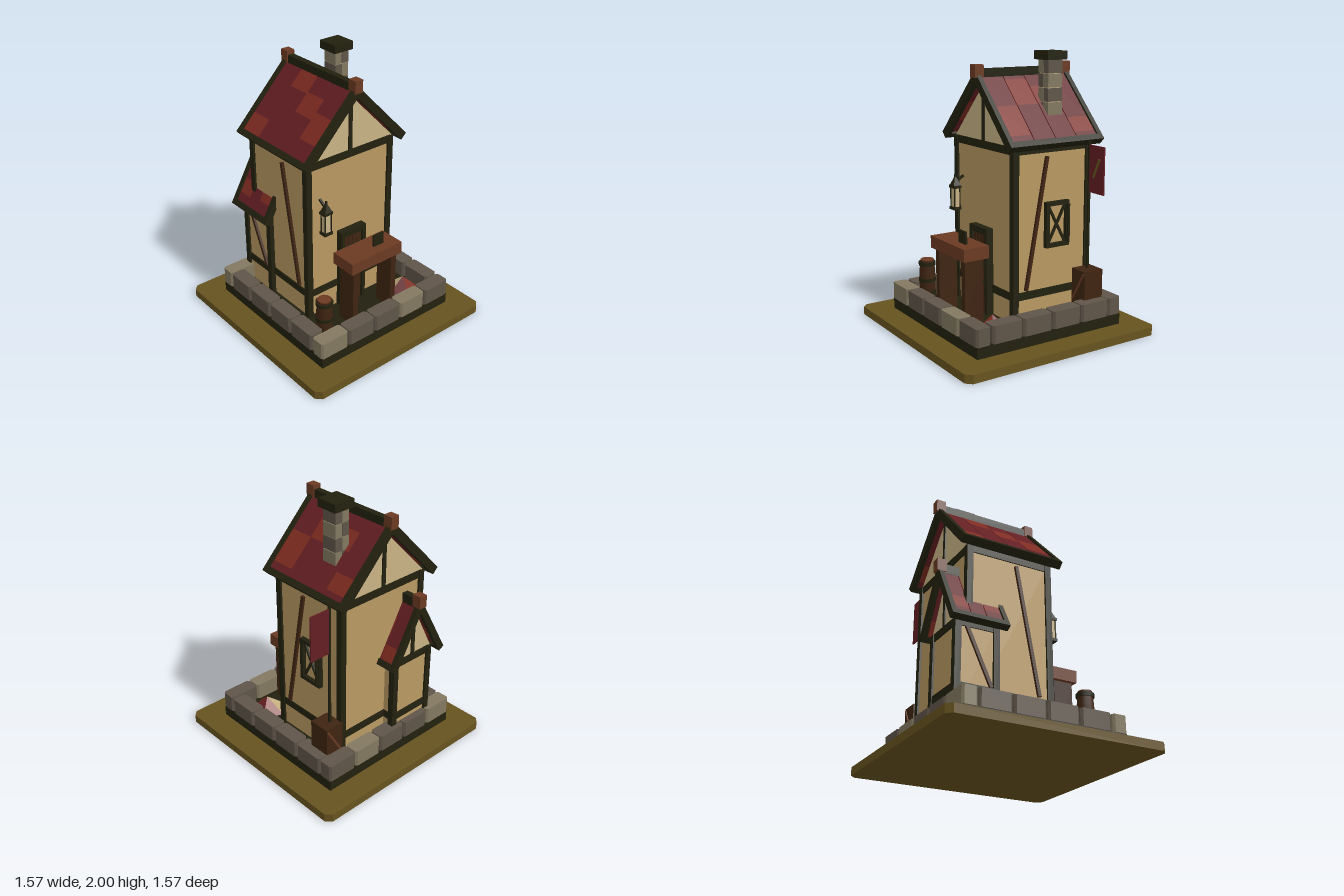
import * as THREE from 'three';

const mat = (name, color) => {
  const m = new THREE.MeshStandardMaterial({ color });
  m.name = name;
  return m;
};

export function createModel() {
  const M = {
    olive: mat('olive', 0x67531f), dark: mat('dark timber', 0x22210f),
    stone: mat('stone', 0x5f5549), pale: mat('pale stone', 0x837961),
    plaster: mat('plaster', 0xb99963), cream: mat('cream', 0xc9b384),
    red: mat('dark red', 0x641e22), bright: mat('bright red', 0x7f2b20),
    brown: mat('brown wood', 0x3f2411), rust: mat('red wood', 0x6b3a22),
  };
  const root = new THREE.Group();
  root.name = 'cottage';

  const add = (parent, name, geo, material, x = 0, y = 0, z = 0) => {
    const m = new THREE.Mesh(geo, material);
    m.name = name;
    m.position.set(x, y, z);
    parent.add(m);
    return m;
  };
  const group = (name, x = 0, y = 0, z = 0, parent = root) => {
    const g = new THREE.Group();
    g.name = name;
    g.position.set(x, y, z);
    parent.add(g);
    return g;
  };
  // box given by its limits on each axis
  const span = (p, name, m, x0, x1, y0, y1, z0, z1) =>
    add(p, name, new THREE.BoxGeometry(x1 - x0, y1 - y0, z1 - z0), m, (x0 + x1) / 2, (y0 + y1) / 2, (z0 + z1) / 2);
  // straight bar between two points
  const bar = (p, name, m, a, b, w, d) => {
    const A = new THREE.Vector3(...a), B = new THREE.Vector3(...b), dir = B.clone().sub(A);
    const mid = A.clone().add(B).multiplyScalar(0.5);
    const mesh = add(p, name, new THREE.BoxGeometry(w, dir.length(), d), m, mid.x, mid.y, mid.z);
    mesh.quaternion.setFromUnitVectors(new THREE.Vector3(0, 1, 0), dir.normalize());
    return mesh;
  };
  // upright slab with cut corners, standing on y
  const slab = (p, name, m, x0, x1, y0, y1, z0, z1, c) => {
    const a = (x1 - x0) / 2, b = (z1 - z0) / 2;
    const pts = [[a, b - c], [a - c, b], [c - a, b], [-a, b - c], [-a, c - b], [c - a, -b], [a - c, -b], [a, c - b]];
    const geo = new THREE.ExtrudeGeometry(new THREE.Shape(pts.map(q => new THREE.Vector2(...q))), { depth: y1 - y0, bevelEnabled: false });
    geo.rotateX(-Math.PI / 2);
    return add(p, name, geo, m, (x0 + x1) / 2, y0, (z0 + z1) / 2);
  };

  // ground and stone border
  slab(root, 'base', M.olive, -0.785, 0.785, 0, 0.06, -0.785, 0.785, 0.04);
  span(root, 'yard', M.dark, -0.6, 0.6, 0.06, 0.14, -0.6, 0.6);
  const wall = group('stoneBorder');
  for (let i = 0; i < 5; i++) {
    const x = -0.605 + i * 0.243, m = i === 0 || i === 3 ? M.pale : M.stone;
    for (const z of [-0.605, 0.495]) slab(wall, 'stone', m, x, x + 0.235, 0.14, 0.265, z, z + 0.11, 0.015);
  }
  for (let i = 0; i < 4; i++) {
    const z = -0.49 + i * 0.245;
    for (const x of [-0.605, 0.495]) slab(wall, 'stone', M.stone, x, x + 0.11, 0.14, 0.265, z, z + 0.235, 0.015);
  }

  // timber framed walls with plaster gable, centred on local x = 0
  const frame = (g, w, z0, z1, top, peak) => {
    span(g, 'walls', M.plaster, -w + 0.015, w - 0.015, 0.14, top, z0 + 0.015, z1 - 0.015);
    for (const s of [-1, 1]) {
      const x = s * (w - 0.023);
      for (const z of [z0 + 0.023, z1 - 0.023])
        span(g, 'cornerPost', M.dark, x - 0.023, x + 0.023, 0.14, top, z - 0.023, z + 0.023);
      for (const y of [0.305, top - 0.05])
        span(g, 'sideBeam', M.dark, x - 0.017, x + 0.017, y, y + 0.055, z0 + 0.02, z1 - 0.02);
    }
    for (const z of [z0 + 0.023, z1 - 0.023]) {
      for (const y of [0.305, top - 0.05])
        span(g, 'endBeam', M.dark, 0.02 - w, w - 0.02, y, y + 0.055, z - 0.017, z + 0.017);
      span(g, 'gablePost', M.dark, -0.015, 0.015, top, peak - 0.01, z - 0.018, z + 0.018);
    }
    const tri = new THREE.Shape([[-w, top], [w, top], [0, peak]].map(q => new THREE.Vector2(...q)));
    add(g, 'gable', new THREE.ExtrudeGeometry(tri, { depth: z1 - z0 - 0.03, bevelEnabled: false }), M.cream, 0, 0, z0 + 0.015);
  };

  // pitched roof; patches[side][row] gives the start and end of the bright part
  const roof = (g, half, eave, ridge, z0, z1, thick, patches) => {
    const angle = Math.atan2(ridge - eave, half), len = Math.hypot(ridge - eave, half), ew = 0.035;
    [-1, 1].forEach((s, k) => {
      const slope = group('roofSlope', 0, ridge, 0, g);
      slope.rotation.z = -s * angle;
      const strip = (name, m, a, b, h, za, zb) =>
        add(slope, name, new THREE.BoxGeometry(b - a, h, zb - za), m, s * (a + b) / 2, 0, (za + zb) / 2);
      for (const z of [z0, z1 - ew]) strip('rafter', M.dark, 0, len, thick, z, z + ew);
      strip('eaveBoard', M.dark, len - 0.045, len, thick, z0 + 0.01, z1 - 0.01);
      const rows = patches[k], step = (z1 - z0 - 2 * ew) / rows.length;
      rows.forEach(([a, b], i) => {
        const za = z0 + ew + i * step, zb = za + step - (i < rows.length - 1 ? 0.006 : 0), L = len - 0.04;
        for (const [p, q, m] of [[0, a, M.red], [a, b, M.bright], [b, 1, M.red]])
          if (q > p) strip('shingles', m, p * L, q * L, thick * 0.5, za, zb);
      });
    });
    const r = ridge + 0.055;
    span(g, 'ridgeBeam', M.dark, -0.024, 0.024, r - 0.07, r, z0, z1);
    for (const z of [z0 - 0.015, z1 - 0.055])
      span(g, 'ridgeCap', M.rust, -0.032, 0.032, r - 0.06, r + 0.03, z, z + 0.07);
  };

  // main house
  const house = group('mainHouse');
  frame(house, 0.39, -0.48, 0.18, 1.375, 1.78);
  roof(house, 0.435, 1.375, 1.825, -0.54, 0.24, 0.06, [
    [[0.75, 1], [0.03, 0.27], [0.25, 0.52], [0.42, 0.77]],
    [[0.7, 0.92], [0.2, 0.45], [0.08, 0.47], [0.47, 0.9]],
  ]);
  // rear annex
  const annex = group('annex', -0.22);
  frame(annex, 0.19, -0.568, -0.24, 0.8, 1.17);
  roof(annex, 0.24, 0.775, 1.205, -0.62, -0.2, 0.05, [
    [[0.6, 0.85], [0.1, 0.4], [0.5, 0.8]],
    [[0.75, 1], [0.3, 0.6], [0.1, 0.35]],
  ]);
  bar(annex, 'brace', M.brown, [-0.18, 0.36, -0.3], [-0.18, 0.75, -0.48], 0.025, 0.025);
  for (const s of [-1, 1])
    bar(house, 'brace', M.brown, [s * 0.38, 0.37, 0.07], [s * 0.38, 1.3, -0.1], 0.03, 0.024);

  // chimney of staggered stones around a mortar core
  const chimney = group('chimney', 0.218, 0, -0.242);
  span(chimney, 'mortar', M.cream, -0.05, 0.05, 1.46, 1.94, -0.052, 0.052);
  for (let i = 0; i < 5; i++) {
    const y = 1.46 + i * 0.097;
    for (const s of [0, 1])
      span(chimney, 'chimneyStone', (i + s) % 2 ? M.stone : M.pale, s ? 0.002 : -0.058, s ? 0.058 : -0.002, y, y + 0.092, -0.06, 0.06);
  }
  span(chimney, 'chimneyCap', M.dark, -0.082, 0.082, 1.94, 2, -0.082, 0.082);

  // side window with crossed bars
  const win = group('window', 0.375, 0.817, -0.182);
  span(win, 'pane', M.plaster, 0, 0.006, -0.15, 0.15, -0.085, 0.085);
  for (const s of [-1, 1]) {
    span(win, 'windowSide', M.dark, 0, 0.035, -0.162, 0.162, s * 0.084 - 0.014, s * 0.084 + 0.014);
    span(win, 'windowRail', M.dark, 0, 0.035, s * 0.148 - 0.014, s * 0.148 + 0.014, -0.098, 0.098);
    bar(win, 'windowCross', M.dark, [0.014, -0.14, -s * 0.075], [0.014, 0.14, s * 0.075], 0.016, 0.016);
  }
  // shutter bar beside the window
  span(win, 'windowBar', M.dark, 0.035, 0.052, -0.137, 0.137, -0.09, -0.075);

  // plank door
  const door = group('door');
  for (const s of [-1, 1])
    span(door, 'doorPost', M.dark, s * 0.1 - 0.014, s * 0.1 + 0.014, 0.14, 0.77, 0.16, 0.22);
  span(door, 'doorLintel', M.dark, -0.114, 0.114, 0.725, 0.77, 0.16, 0.22);
  span(door, 'doorBack', M.dark, -0.09, 0.09, 0.14, 0.73, 0.16, 0.19);
  for (let i = 0; i < 4; i++)
    span(door, 'plank', M.brown, -0.082 + i * 0.042, -0.044 + i * 0.042, 0.14, 0.725, 0.17, 0.205);
  for (const y of [0.36, 0.62]) span(door, 'hinge', M.dark, -0.09, 0.06, y, y + 0.022, 0.19, 0.214);
  span(door, 'handle', M.dark, 0.045, 0.062, 0.48, 0.52, 0.2, 0.24);

  // table with a small sign
  const table = group('table');
  span(table, 'tableTop', M.rust, -0.233, 0.23, 0.6, 0.69, 0.273, 0.475);
  for (const x of [-0.178, 0.178]) span(table, 'tableLeg', M.brown, x - 0.024, x + 0.024, 0.14, 0.6, 0.305, 0.452);
  span(table, 'sign', M.dark, 0.033, 0.123, 0.69, 0.78, 0.383, 0.399);

  // hanging lantern
  const lamp = group('lantern', -0.273, 0, 0.243);
  span(lamp, 'glass', M.cream, -0.025, 0.025, 0.865, 1.01, -0.02, 0.02);
  span(lamp, 'lanternBase', M.dark, -0.036, 0.036, 0.845, 0.866, -0.03, 0.03);
  for (const x of [-0.027, 0.027])
    for (const z of [-0.022, 0.022]) span(lamp, 'lanternPost', M.dark, x - 0.004, x + 0.004, 0.86, 1.01, z - 0.004, z + 0.004);
  span(lamp, 'lanternRim', M.dark, -0.037, 0.037, 1.005, 1.025, -0.03, 0.03);
  const cap = new THREE.CylinderGeometry(0.008, 0.042, 0.06, 4, 1).toNonIndexed();
  cap.rotateY(Math.PI / 4);
  cap.computeVertexNormals();
  add(lamp, 'lanternCap', cap, M.dark, 0, 1.055, 0);
  bar(lamp, 'lanternBracket', M.dark, [0, 1.09, -0.07], [0, 1.06, -0.02], 0.016, 0.016);
  span(lamp, 'lanternHook', M.dark, -0.005, 0.005, 1.05, 1.105, -0.006, 0.006);

  // barrel
  const barrel = group('barrel', -0.425, 0.14, 0.405);
  const profile = [[0, 0], [0.05, 0], [0.058, 0.1], [0.06, 0.16], [0.058, 0.22], [0.052, 0.31]];
  add(barrel, 'barrelBody', new THREE.LatheGeometry(profile.map(q => new THREE.Vector2(...q)), 12), M.brown);
  add(barrel, 'barrelLid', new THREE.CylinderGeometry(0.05, 0.05, 0.012, 12), M.rust, 0, 0.31, 0);
  for (const y of [0.06, 0.16, 0.285])
    add(barrel, 'hoop', new THREE.CylinderGeometry(0.063, 0.063, 0.028, 12, 1, false), M.dark, 0, y, 0);

  // crate with diagonal slats
  const crate = group('crate');
  span(crate, 'crateBox', M.brown, 0.385, 0.53, 0.14, 0.47, -0.49, -0.33);
  for (const z of [-0.49, -0.33])
    bar(crate, 'crateSlat', M.rust, [0.4, 0.25, z], [0.52, 0.455, z], 0.014, 0.012);

  // banner on its pole
  const banner = group('banner');
  span(banner, 'pole', M.dark, 0.434, 0.449, 0.14, 1.4, -0.43, -0.415);
  span(banner, 'cloth', M.red, 0.445, 0.605, 1.025, 1.36, -0.427, -0.417);
  bar(banner, 'bannerStripe', M.olive, [0.495, 1.135, -0.415], [0.56, 1.27, -0.415], 0.018, 0.006);

  // five sided parasol lying in the yard
  const parasol = group('parasol', 0.385, 0.14, 0.345);
  for (let i = 0; i < 5; i++) {
    const pt = k => [0.138 * Math.cos(Math.PI + k * Math.PI * 0.4), 0, 0.138 * Math.sin(Math.PI + k * Math.PI * 0.4)];
    const geo = new THREE.BufferGeometry();
    geo.setAttribute('position', new THREE.Float32BufferAttribute([0, 0.115, 0, ...pt(i + 1), ...pt(i)], 3));
    geo.computeVertexNormals();
    add(parasol, 'parasolPanel', geo, i === 0 ? M.cream : i % 2 ? M.bright : M.red);
  }
  return root;
}
